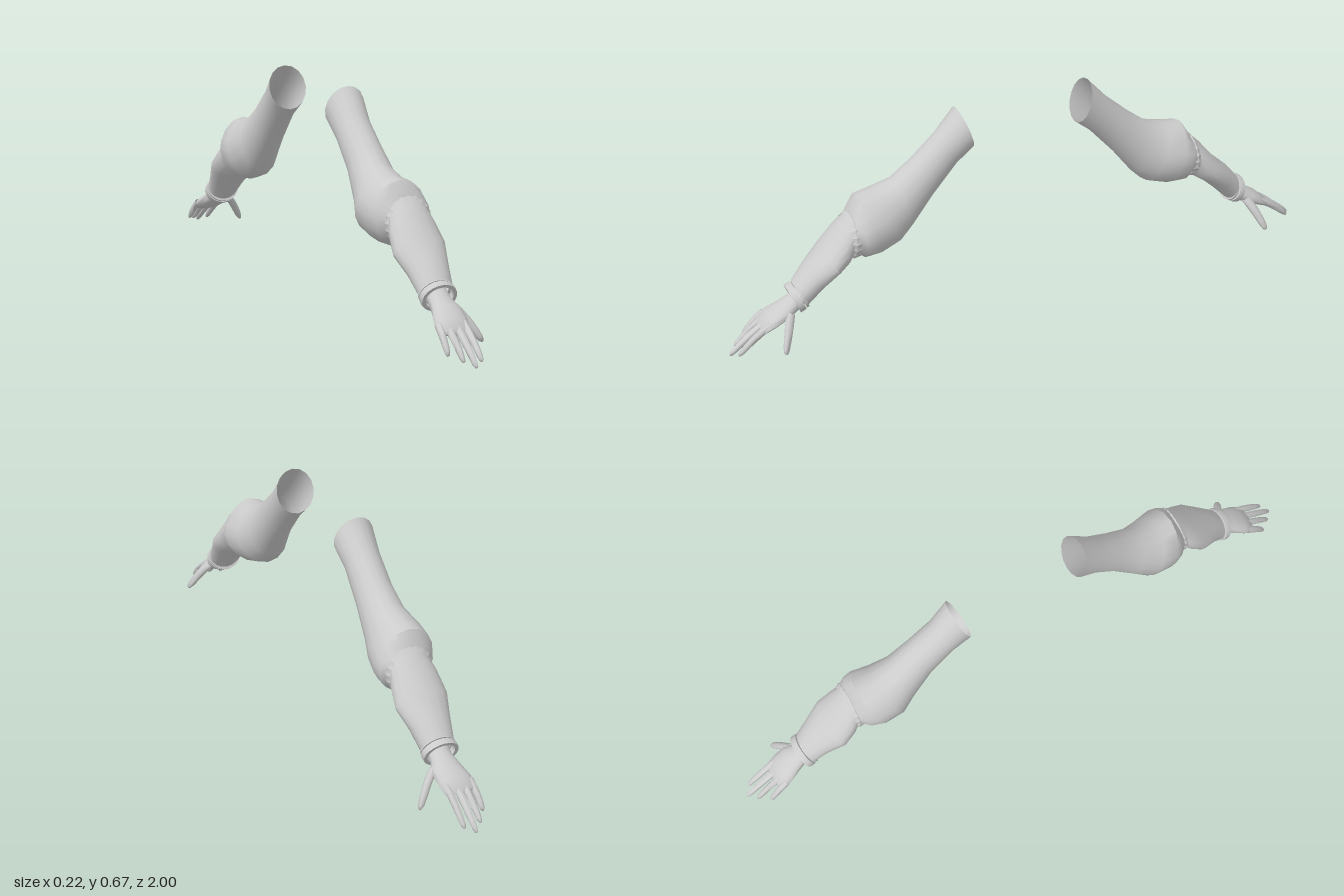
import * as THREE from 'three';
import { toCreasedNormals } from 'three/addons/utils/BufferGeometryUtils.js';

const grey = new THREE.MeshStandardMaterial({ color: 0xcccccc, side: THREE.DoubleSide });
grey.name = 'plain grey';

// Skin over rings [topZ, topY, bottomZ, bottomY, minX, maxX, peak]; dir = -1 mirrors along z
function loft(rings, dir, sides = 16, crease = 0.8, wave = 0) {
  const pos = [], index = [];
  for (const [zt, yt, zb, yb, x0, x1, peak = 1] of rings) {
    for (let j = 0; j < sides; j++) {
      const t = (j / sides) * Math.PI * 2;
      const k = 1 + (j % 2 ? -wave : wave);
      const s = Math.sin(t) * k;
      let c = Math.cos(t);
      if (c > 0) c = Math.pow(c, peak);
      c *= k;
      pos.push((x0 + x1) / 2 + s * (x1 - x0) / 2,
        (yt + yb) / 2 + c * (yt - yb) / 2,
        dir * ((zt + zb) / 2 + c * (zt - zb) / 2));
    }
  }
  for (let i = 0; i < rings.length - 1; i++) {
    for (let j = 0; j < sides; j++) {
      const a = i * sides + j, b = i * sides + (j + 1) % sides;
      const c = a + sides, d = b + sides;
      if (dir > 0) index.push(a, c, b, b, c, d);
      else index.push(a, b, c, b, d, c);
    }
  }
  const g = new THREE.BufferGeometry();
  g.setAttribute('position', new THREE.Float32BufferAttribute(pos, 3));
  g.setIndex(index);
  g.computeVertexNormals();
  return toCreasedNormals(g, crease);
}

// Round ring at a point, tilted square to the hand
const round = (x, y, z, r, dz, dy) =>
  [z + dz * r, y + dy * r, z - dz * r, y - dy * r, x - r, x + r];

// Tapered finger along a bent path with a rounded tip
function finger(base, mid, tip, r, dz, dy) {
  const curve = new THREE.QuadraticBezierCurve3(
    new THREE.Vector3(...base), new THREE.Vector3(...mid), new THREE.Vector3(...tip));
  const steps = [[0, 1], [0.25, 1], [0.5, 0.95], [0.75, 0.85], [0.9, 0.7], [0.97, 0.45], [1, 0.02]];
  return steps.map(([t, k]) => {
    const p = curve.getPoint(t);
    return round(p.x, p.y, p.z, r * k, dz, dy);
  });
}

// Bracelet ring: size factor and shift along the wrist
const cuff = (k, o) => {
  const z = 0.7725 + o * 0.9, y = 0.158 - o * 0.42;
  return [z + 0.0175 * k, y + 0.0425 * k, z - 0.0175 * k, y - 0.0425 * k, -0.057 * k, 0.056 * k];
};

const upperSleeve = [
  [0.225, 0.677, 0.18, 0.54, -0.075, 0.055],
  [0.29, 0.605, 0.235, 0.495, -0.068, 0.046],
  [0.37, 0.535, 0.32, 0.40, -0.07, 0.05],
  [0.44, 0.48, 0.39, 0.31, -0.085, 0.058],
  [0.515, 0.458, 0.43, 0.27, -0.108, 0.075, 1.2],
  [0.565, 0.453, 0.50, 0.25, -0.107, 0.09, 1.3],
  [0.578, 0.43, 0.555, 0.25, -0.09, 0.088, 1.2],
  [0.588, 0.405, 0.605, 0.295, -0.062, 0.07],
];

const elbowFrill = [
  [0.578, 0.405, 0.575, 0.262, -0.07, 0.075],
  [0.592, 0.408, 0.598, 0.258, -0.072, 0.077],
  [0.602, 0.398, 0.61, 0.27, -0.066, 0.07],
];

const forearm = [
  [0.57, 0.395, 0.575, 0.30, -0.055, 0.06],
  [0.59, 0.408, 0.60, 0.265, -0.066, 0.07],
  [0.63, 0.37, 0.612, 0.247, -0.077, 0.078],
  [0.685, 0.305, 0.642, 0.228, -0.086, 0.086],
  [0.74, 0.255, 0.695, 0.18, -0.066, 0.066],
  [0.782, 0.205, 0.745, 0.13, -0.054, 0.054],
];

const palm = [
  [0.77, 0.185, 0.745, 0.14, -0.035, 0.035],
  [0.80, 0.163, 0.775, 0.117, -0.034, 0.036],
  [0.835, 0.142, 0.815, 0.098, -0.046, 0.05],
  [0.87, 0.118, 0.85, 0.082, -0.059, 0.049],
  [0.898, 0.092, 0.884, 0.068, -0.056, 0.042],
  [0.901, 0.08, 0.895, 0.076, -0.04, 0.03],
];

// Base x, tip x, tip y, tip z
const fingers = {
  littleFinger: [-0.050, -0.056, 0.028, 0.938],
  ringFinger: [-0.024, -0.027, 0.016, 0.975],
  middleFinger: [0.002, 0.000, 0.003, 1.0],
  indexFinger: [0.029, 0.028, 0.013, 0.98],
};

function buildArm(name, dir) {
  const arm = new THREE.Group();
  arm.name = name;
  const add = (part, geometry) => {
    const m = new THREE.Mesh(geometry, grey);
    m.name = part;
    arm.add(m);
  };
  add('upperSleeve', loft(upperSleeve, dir));
  add('elbowFrill', loft(elbowFrill, dir, 40, 0.5, 0.02));
  add('forearm', loft(forearm, dir));

  // Bracelet with a thin second rim behind it
  add('bracelet', loft([cuff(0.8, -0.004), cuff(1, -0.004), cuff(1.02, 0.006),
    cuff(1, 0.016), cuff(0.8, 0.016), cuff(0.8, -0.004)], dir, 20, 0.6));
  add('braceletRim', loft([cuff(0.8, -0.016), cuff(0.97, -0.016),
    cuff(0.97, -0.008), cuff(0.8, -0.008)], dir, 20, 0.6));

  // Hand
  add('palm', loft(palm, dir, 16, 1.2));
  for (const [part, [bx, tx, ty, tz]] of Object.entries(fingers)) {
    const path = finger([bx, 0.098, 0.868],
      [(bx + tx) / 2, (0.098 + ty) / 2 + 0.008, (0.868 + tz) / 2 + 0.004],
      [tx, ty, tz], 0.0115, 0.55, 0.83);
    add(part, loft(path, dir, 8, 1.2));
  }
  add('thumb', loft(finger([0.032, 0.128, 0.805], [0.068, 0.095, 0.825],
    [0.103, 0.026, 0.853], 0.0155, 0.85, 0.5), dir, 8, 1.2));
  return arm;
}

export function createModel() {
  const model = new THREE.Group();
  model.name = 'pairOfArms';
  model.add(buildArm('frontArm', 1), buildArm('backArm', -1));
  return model;
}
